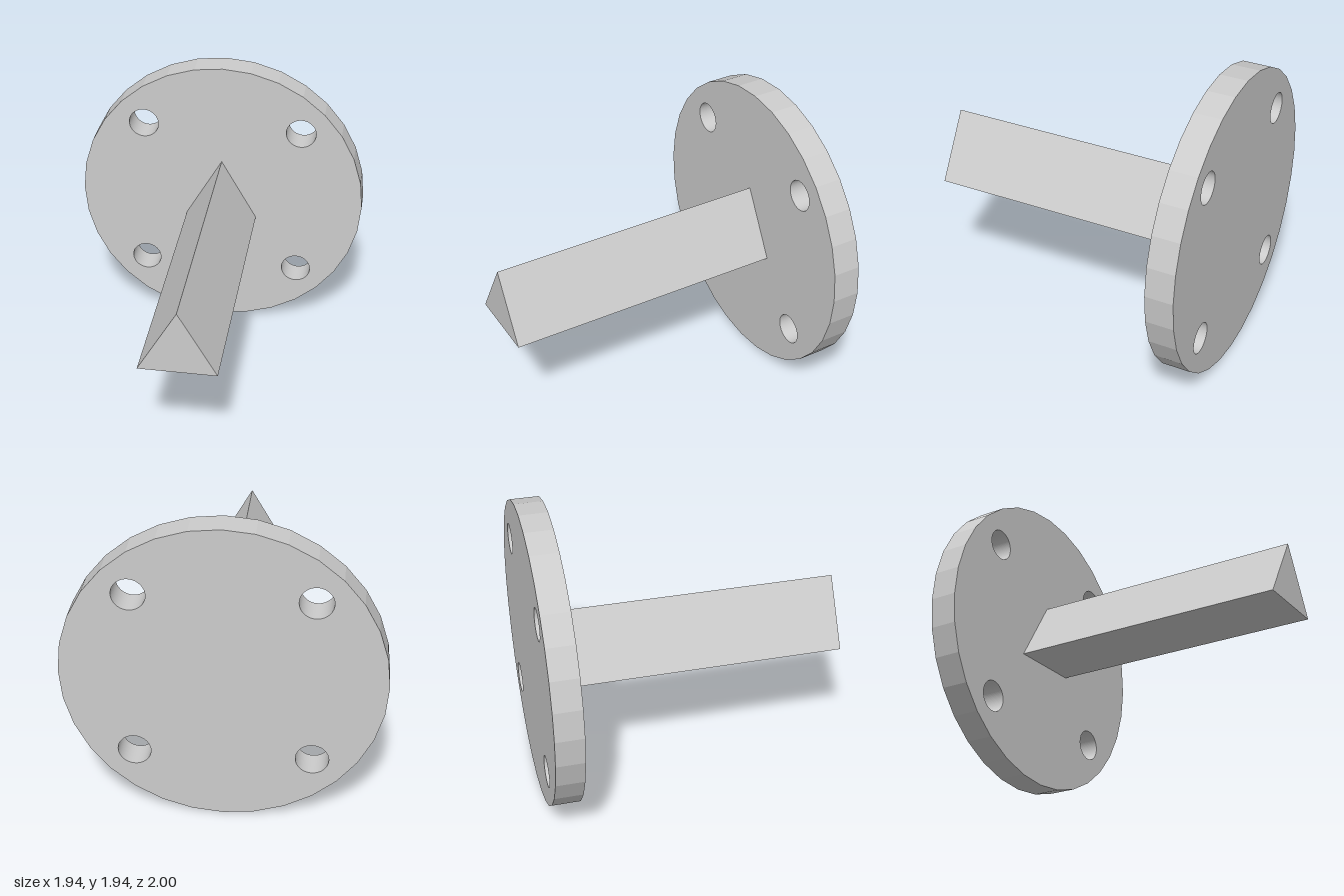
import * as THREE from 'three';

// Closed regular polygon with its first corner pointing up
function polygon(sides, radius) {
  const points = [];
  for (let i = 0; i < sides; i++) {
    const a = Math.PI / 2 + (i / sides) * Math.PI * 2;
    points.push(new THREE.Vector2(Math.cos(a) * radius, Math.sin(a) * radius));
  }
  return new THREE.Shape(points);
}

export function createModel() {
  const group = new THREE.Group();
  const material = new THREE.MeshStandardMaterial({ color: 0xcccccc, flatShading: true });
  const radius = 0.97, back = -1, plateFront = -0.82, front = 1;

  function extrude(name, shape, z0, z1) {
    const geometry = new THREE.ExtrudeGeometry(shape, {
      depth: z1 - z0, bevelEnabled: false, curveSegments: 40,
    });
    const mesh = new THREE.Mesh(geometry, material);
    mesh.name = name;
    mesh.position.set(0, radius, z0);
    group.add(mesh);
  }

  // Round mounting plate with four bolt holes
  const plate = polygon(32, radius);
  for (const x of [-1, 1]) {
    for (const y of [-1, 1]) {
      const hole = new THREE.Path();
      hole.absarc(x * 0.535, y * 0.535, 0.1, 0, Math.PI * 2, true);
      plate.holes.push(hole);
    }
  }
  extrude('mountingPlate', plate, back, plateFront);

  // Triangular bar standing out from the plate
  extrude('triangularBar', polygon(3, 0.28), plateFront, front);

  return group;
}
